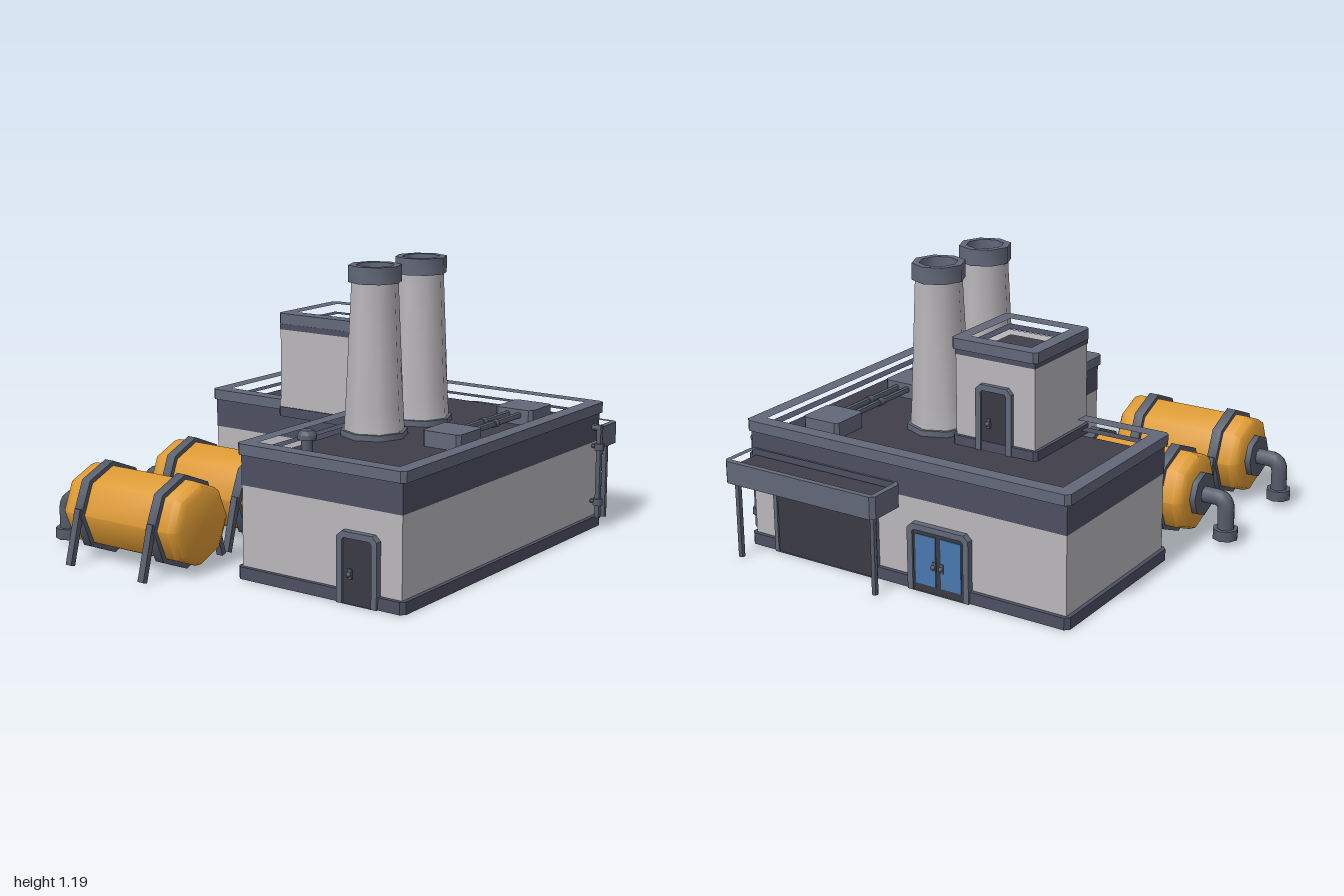
import * as THREE from 'three';
import { toCreasedNormals } from 'three/addons/utils/BufferGeometryUtils.js';

const mat = (color) => new THREE.MeshStandardMaterial({ color });
const M = {
  wall: mat(0xb9b6ba), trim: mat(0x626879), band: mat(0x4c4f62), roof: mat(0x403e49),
  dark: mat(0x3a3a44), steel: mat(0x565c6b), tank: mat(0xdd9a34), glass: mat(0x4878b0),
};

function add(parent, name, geometry, material, x = 0, y = 0, z = 0) {
  const mesh = new THREE.Mesh(geometry, material);
  mesh.name = name;
  mesh.position.set(x, y, z);
  parent.add(mesh);
  return mesh;
}

function subgroup(parent, name, x = 0, y = 0, z = 0) {
  const g = new THREE.Group();
  g.name = name;
  g.position.set(x, y, z);
  parent.add(g);
  return g;
}

// Cuts every corner of a polygon by c
function chamfer(points, c) {
  if (!c) return points;
  return points.flatMap((p, i) => {
    const n = points.length;
    return [points[(i + n - 1) % n], points[(i + 1) % n]].map((q) => {
      const d = Math.hypot(q[0] - p[0], q[1] - p[1]);
      return [p[0] + ((q[0] - p[0]) * c) / d, p[1] + ((q[1] - p[1]) * c) / d];
    });
  });
}

// Horizontal slab from [x, z] points, optionally hollow
function slab(points, y0, y1, hole) {
  const v = (pts) => pts.map(([x, z]) => new THREE.Vector2(x, -z));
  const shape = new THREE.Shape(v(points));
  if (hole) shape.holes.push(new THREE.Path(v(hole)));
  const g = new THREE.ExtrudeGeometry(shape, { depth: y1 - y0, bevelEnabled: false });
  return g.rotateX(-Math.PI / 2).translate(0, y0, 0);
}

// L-shaped footprint, moved inwards by d
const footprint = (d, c = 0) => chamfer([
  [-0.705 + d, -0.83 + d], [0.845 - d, -0.83 + d], [0.845 - d, 0.72 - d],
  [0.05 + d, 0.72 - d], [0.05 + d, -0.04 - d], [-0.705 + d, -0.04 - d],
], c);
const rect = (x0, x1, z0, z1, c = 0) => chamfer([[x0, z0], [x1, z0], [x1, z1], [x0, z1]], c);

function lathe(profile, sides = 8) {
  const pts = profile.map(([r, y]) => new THREE.Vector2(r, y));
  return toCreasedNormals(new THREE.LatheGeometry(pts, sides), 0.85);
}
const cylinder = (r, h, sides = 8) => toCreasedNormals(new THREE.CylinderGeometry(r, r, h, sides), 0.85);

// Round bar between two points
function bar(parent, name, a, b, r, material, sides = 8) {
  const A = new THREE.Vector3(...a), B = new THREE.Vector3(...b);
  const m = add(parent, name, cylinder(r, A.distanceTo(B), sides), material);
  m.position.copy(A).add(B).multiplyScalar(0.5);
  m.quaternion.setFromUnitVectors(new THREE.Vector3(0, 1, 0), B.sub(A).normalize());
  return m;
}

// Frame with a panel; faces +z, standing on the group's origin
function door(parent, name, w, h, { border = 0.025, leaves = 1, glass = false, handle = true } = {}) {
  const g = subgroup(parent, name);
  const arch = (W, H, c) => [[-W, 0], [W, 0], [W, H - c], [W - c, H], [-W + c, H], [-W, H - c]]
    .map((p) => new THREE.Vector2(...p));
  const frame = new THREE.Shape(arch(w / 2, h, 0.022));
  frame.holes.push(new THREE.Path(arch(w / 2 - border, h - border, 0.008)));
  add(g, 'doorFrame', new THREE.ExtrudeGeometry(frame, { depth: 0.04, bevelEnabled: false }), M.trim, 0, 0, -0.03);
  add(g, 'doorPanel', new THREE.BoxGeometry(w - border * 2, h - border, 0.03), M.dark, 0, (h - border) / 2, -0.013);
  const leaf = (w - border * 2) / leaves;
  for (let i = 0; i < leaves; i++) {
    const cx = -w / 2 + border + leaf * (i + 0.5);
    if (glass) add(g, 'doorGlass', new THREE.BoxGeometry(leaf - 0.025, h - 0.075, 0.01), M.glass, cx, h / 2 - 0.005, 0.001);
    if (handle) {
      const hx = leaves > 1 ? (i ? 0.018 : -0.018) : -w / 2 + border + 0.035;
      add(g, 'handlePlate', new THREE.BoxGeometry(0.018, 0.04, 0.008), M.steel, hx, 0.12, 0.006);
      add(g, 'doorHandle', new THREE.SphereGeometry(0.01, 8, 6), M.steel, hx, 0.12, 0.015);
    }
  }
  return g;
}

function buildTank(root, z) {
  const g = subgroup(root, 'storageTank', 0, 0.2, z);
  const body = lathe([[0, -0.71], [0.135, -0.71], [0.162, -0.695], [0.175, -0.665],
    [0.175, -0.135], [0.162, -0.105], [0.135, -0.09], [0, -0.09]]).rotateZ(-Math.PI / 2);
  add(g, 'tankBody', body, M.tank);
  // Straps with splayed legs
  for (const x of [-0.593, -0.203]) {
    const strap = lathe([[0.165, -0.022], [0.195, -0.022], [0.195, 0.022], [0.165, 0.022], [0.165, -0.022]]);
    add(g, 'tankStrap', strap.rotateZ(-Math.PI / 2), M.steel, x);
    for (const s of [-1, 1]) {
      const leg = add(g, 'tankLeg', new THREE.BoxGeometry(0.03, 0.23, 0.024), M.steel, x, -0.085, s * 0.212);
      leg.rotation.x = -s * 0.27;
    }
  }
  // Outlet pipe bending down to a foot
  add(g, 'outletFlange', cylinder(0.095, 0.03).rotateZ(Math.PI / 2), M.steel, -0.72);
  const V = (x, y) => new THREE.Vector3(x, y, 0);
  const path = new THREE.CurvePath();
  path.add(new THREE.LineCurve3(V(-0.72, 0), V(-0.79, 0)));
  path.add(new THREE.QuadraticBezierCurve3(V(-0.79, 0), V(-0.835, 0), V(-0.835, -0.05)));
  path.add(new THREE.LineCurve3(V(-0.835, -0.05), V(-0.835, -0.15)));
  add(g, 'outletPipe', new THREE.TubeGeometry(path, 16, 0.037, 8), M.steel);
  add(g, 'outletFoot', cylinder(0.055, 0.045), M.steel, -0.835, -0.152);
}

export function createModel() {
  const root = new THREE.Group();
  root.name = 'factory';

  // Main building
  const hall = subgroup(root, 'mainBuilding');
  add(hall, 'walls', slab(footprint(0.018), 0.01, 0.38), M.wall);
  add(hall, 'basePlinth', slab(footprint(0, 0.018), 0, 0.05), M.band);
  add(hall, 'wallBand', slab(footprint(0.016), 0.38, 0.505, footprint(0.063)), M.band);
  add(hall, 'roof', slab(footprint(0.05), 0.39, 0.48), M.roof);
  add(hall, 'parapet', slab(footprint(0, 0.018), 0.505, 0.55, footprint(0.063)), M.trim);

  // Doors of the hall
  door(hall, 'frontDoor', 0.185, 0.285).position.set(0.637, 0, 0.72);
  const glassDoor = door(hall, 'glassDoubleDoor', 0.29, 0.285, { leaves: 2, glass: true });
  glassDoor.position.set(-0.115, 0, -0.83);
  const gate = door(hall, 'loadingGate', 0.52, 0.3, { border: 0.018, handle: false });
  gate.position.set(0.447, 0, -0.83);
  glassDoor.rotation.y = gate.rotation.y = Math.PI;

  // Canopy over the loading gate
  const canopy = subgroup(root, 'loadingCanopy');
  add(canopy, 'canopyRim', slab(rect(0.07, 0.825, -1, -0.815, 0.018), 0.335, 0.43, rect(0.095, 0.8, -0.975, -0.825)), M.trim);
  add(canopy, 'canopyRoof', slab(rect(0.09, 0.805, -0.98, -0.82), 0.345, 0.4), M.roof);
  for (const x of [0.105, 0.79]) bar(canopy, 'canopyPost', [x, 0, -0.955], [x, 0.36, -0.955], 0.013, M.steel);

  // Roof house
  const house = subgroup(root, 'roofHouse');
  add(house, 'houseWalls', slab(rect(-0.31, 0.065, -0.435, -0.036), 0.48, 0.86, rect(-0.265, 0.02, -0.39, -0.1)), M.wall);
  add(house, 'houseBase', slab(rect(-0.325, 0.08, -0.45, -0.03, 0.015), 0.478, 0.52), M.band);
  add(house, 'houseBand', slab(rect(-0.312, 0.067, -0.437, -0.034), 0.86, 0.885, rect(-0.265, 0.02, -0.39, -0.1)), M.band);
  add(house, 'houseParapet', slab(rect(-0.325, 0.08, -0.45, -0.035, 0.015), 0.885, 0.93, rect(-0.265, 0.02, -0.39, -0.1)), M.trim);
  add(house, 'houseRoof', slab(rect(-0.28, 0.035, -0.41, -0.08), 0.82, 0.855), M.roof);
  const roofDoor = door(house, 'roofDoor', 0.17, 0.28);
  roofDoor.position.set(-0.125, 0.48, -0.445);
  roofDoor.rotation.y = Math.PI;

  // Chimneys
  for (const z of [-0.31, 0.03]) {
    const c = subgroup(root, 'chimney', 0.23, 0, z);
    add(c, 'chimneyShaft', lathe([[0.13, 0.47], [0.122, 0.6], [0.098, 1.125]]), M.wall);
    add(c, 'chimneyBase', lathe([[0.142, 0.47], [0.142, 0.505], [0.125, 0.505]]), M.trim);
    add(c, 'chimneyCap', lathe([[0.09, 1.12], [0.111, 1.12], [0.111, 1.19], [0.08, 1.19], [0.08, 1.05]]), M.trim);
    add(c, 'chimneyBore', lathe([[0.08, 1.12], [0.08, 1.0], [0, 1.0]]), M.dark);
  }

  // Rooftop units joined by pipes
  const units = subgroup(root, 'rooftopUnits');
  for (const z of [-0.575, -0.005])
    add(units, 'unitBox', slab(rect(0.5, 0.68, z - 0.09, z + 0.09, 0.015), 0.475, 0.546), M.trim);
  for (const x of [0.562, 0.617]) {
    bar(units, 'unitPipe', [x, 0.52, -0.5], [x, 0.52, -0.08], 0.014, M.steel);
    add(units, 'pipeCollar', cylinder(0.018, 0.03).rotateX(Math.PI / 2), M.steel, x, 0.52, -0.29);
  }

  // Roof vent
  add(root, 'roofVent', lathe([[0.024, 0.47], [0.024, 0.55], [0.04, 0.55], [0.04, 0.57], [0.026, 0.587], [0, 0.587]]),
    M.steel, 0.235, 0, 0.5);

  // Drainpipe on the side wall
  const drain = subgroup(root, 'drainpipe', 0.862, 0, -0.76);
  bar(drain, 'drainDown', [0, 0.05, 0], [0, 0.45, 0], 0.014, M.steel);
  bar(drain, 'drainInlet', [-0.05, 0.448, 0], [0.01, 0.448, 0], 0.014, M.steel);
  for (const y of [0.12, 0.365]) {
    add(drain, 'drainCollar', cylinder(0.022, 0.03), M.steel, 0, y);
    bar(drain, 'drainBracket', [-0.05, y, 0], [0, y, 0], 0.009, M.steel);
  }

  // Storage tanks
  for (const z of [0.23, 0.753]) buildTank(root, z);

  return root;
}
